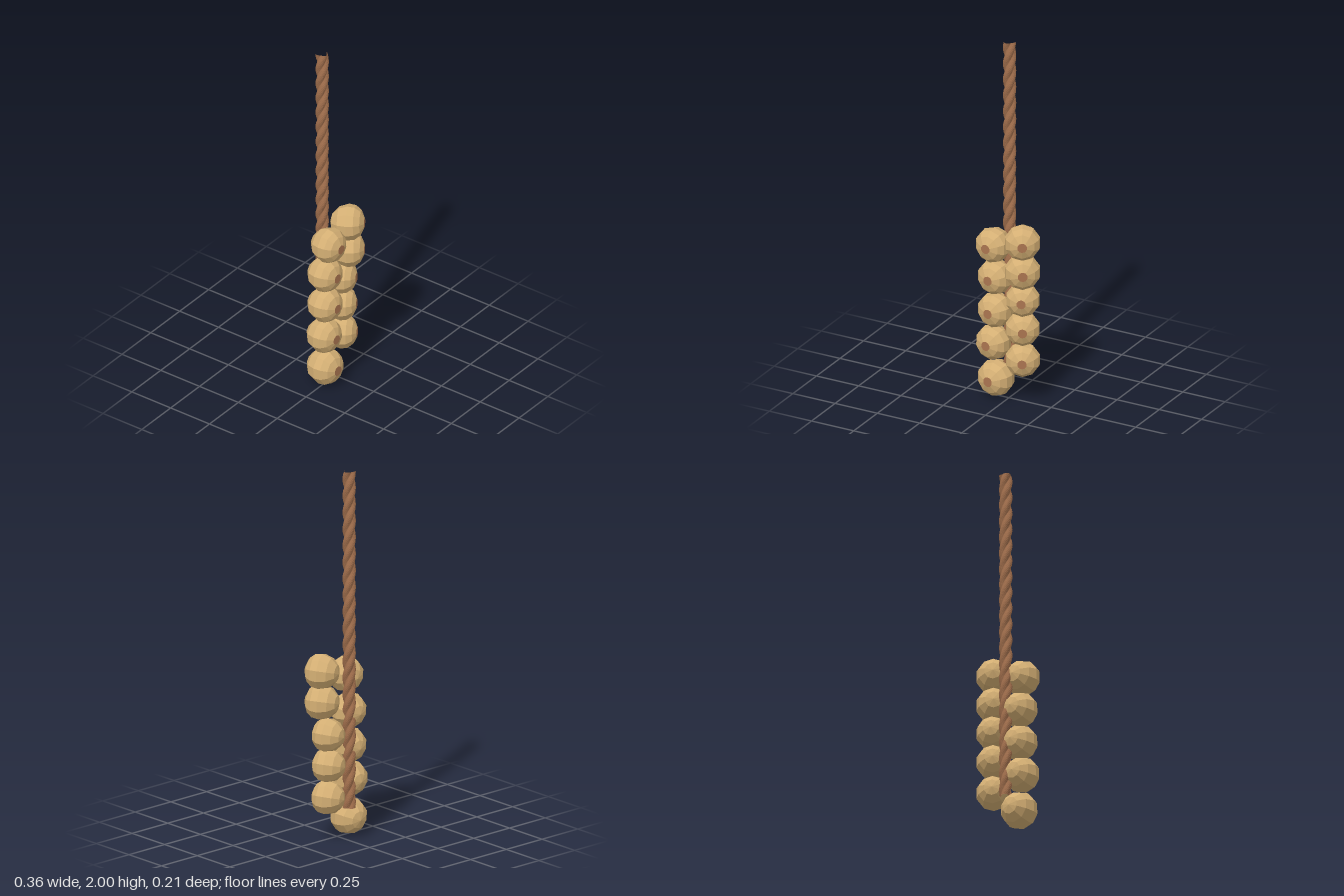
import * as THREE from 'three';
import { toCreasedNormals } from 'three/addons/utils/BufferGeometryUtils.js';

const skin = new THREE.MeshStandardMaterial({ color: 0xd4af74, flatShading: true });
const root = new THREE.MeshStandardMaterial({ color: 0xa8734f, flatShading: true });
const fibre = new THREE.MeshStandardMaterial({ color: 0xa06e4c });

// Faceted bulb, turned around z with its flat root end facing +z
const profile = [[0, -0.094], [0.045, -0.082], [0.08, -0.048], [0.096, 0.0],
  [0.09, 0.038], [0.066, 0.068], [0.026, 0.086]].map(([r, h]) => new THREE.Vector2(r, h));
const bulbGeometry = new THREE.LatheGeometry(profile, 10).rotateX(Math.PI / 2);
const rootGeometry = new THREE.CircleGeometry(0.026, 10).rotateZ(Math.PI / 2).translate(0, 0, 0.086);

function makeBulb([x, y, z, turn, size]) {
  const bulb = new THREE.Group();
  bulb.name = 'bulb';
  const body = new THREE.Mesh(bulbGeometry, skin);
  body.name = 'bulbBody';
  const disc = new THREE.Mesh(rootGeometry, root);
  disc.name = 'bulbRoot';
  bulb.add(body, disc);
  bulb.position.set(x, y, z);
  bulb.rotation.set(-0.04, THREE.MathUtils.degToRad(turn), 0, 'YXZ');
  bulb.scale.setScalar(size);
  return bulb;
}

// Hollow rope: a tube with three rounded strands, twisted along its length
function makeRope(bottom, top) {
  const length = top - bottom, strands = 3, pitch = 0.27;
  const geometry = new THREE.CylinderGeometry(1, 1, length, 24, 120, true);
  const p = geometry.attributes.position;
  for (let i = 0; i < p.count; i++) {
    const angle = Math.atan2(p.getZ(i), p.getX(i));
    const y = p.getY(i);
    const r = 0.024 + 0.011 * Math.abs(Math.cos(angle * strands / 2));
    const a = angle - (y / pitch) * Math.PI * 2;
    p.setXYZ(i, r * Math.cos(a), y, r * Math.sin(a));
  }
  const rope = new THREE.Mesh(toCreasedNormals(geometry, 0.6), fibre);
  rope.name = 'rope';
  rope.position.set(-0.03, bottom + length / 2, -0.06);
  return rope;
}

export function createModel() {
  const group = new THREE.Group();
  group.name = 'bulbString';
  group.add(makeRope(0.17, 2));

  // x, y, z, turn in degrees, size
  const rightColumn = [
    [-0.08, 0.865, 0.018, -2, 0.99],
    [-0.08, 0.675, -0.005, -2, 0.99],
    [-0.08, 0.487, -0.005, -2, 0.99],
    [-0.09, 0.303, -0.003, -3, 0.99],
    [-0.077, 0.102, -0.007, -3, 1.03],
  ];
  const leftColumn = [
    [0.09, 0.915, 0.018, 28, 1],
    [0.09, 0.75, 0.018, 30, 1],
    [0.075, 0.575, -0.015, 22, 0.95],
    [0.073, 0.41, -0.015, 28, 0.96],
    [0.075, 0.235, -0.013, 26, 0.96],
  ];
  for (const spec of [...rightColumn, ...leftColumn]) group.add(makeBulb(spec));
  return group;
}
